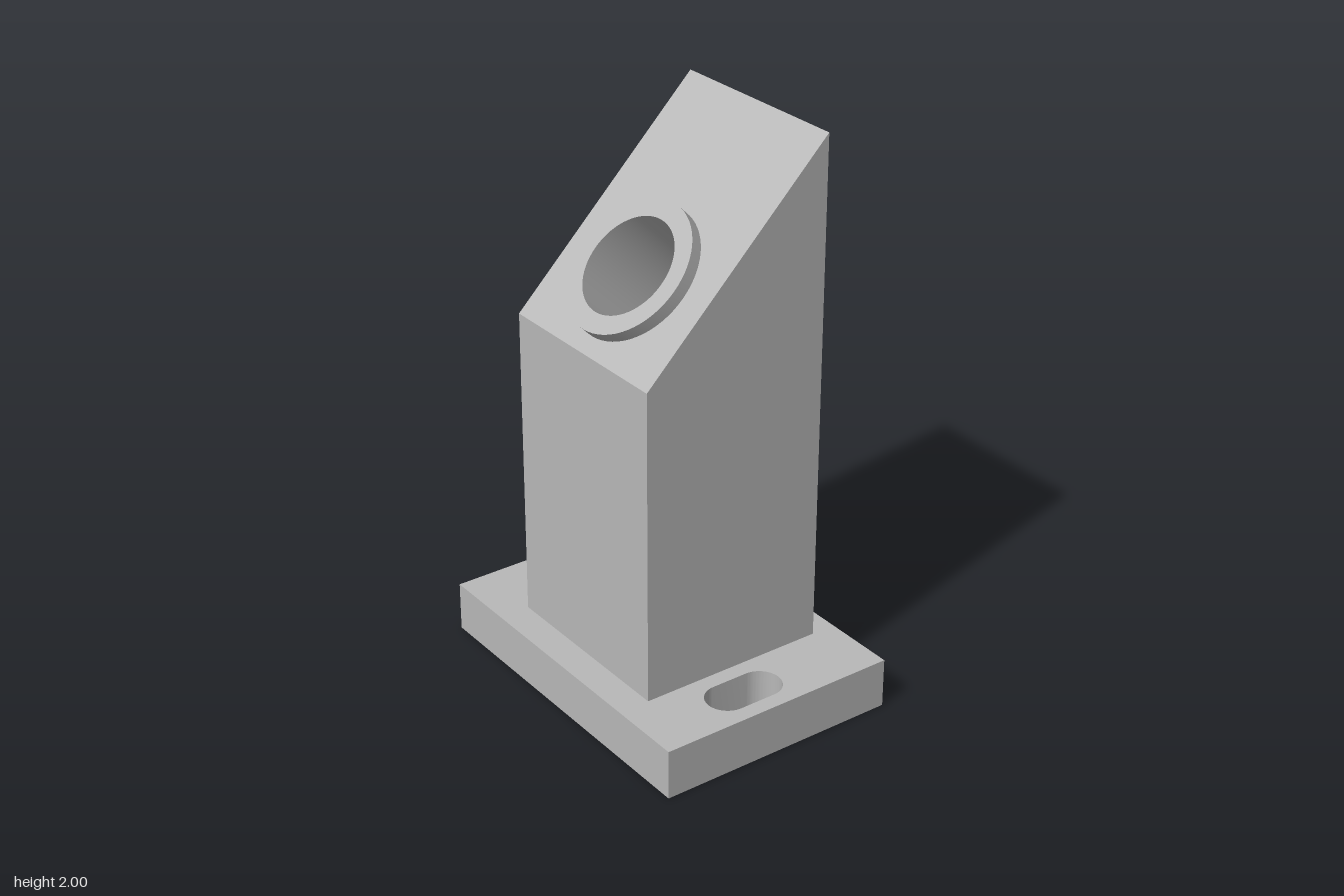
import * as THREE from 'three';
import { toCreasedNormals } from 'three/addons/utils/BufferGeometryUtils.js';

const BASE = { halfX: 0.448, halfZ: 0.627, height: 0.18 };
const COLUMN = { left: -0.335, right: 0.358, halfZ: 0.358, low: 1.307, high: 2 };
const COLLAR = { x: -0.117, outer: 0.246, inner: 0.179, height: 0.047, depth: 0.45 };

function rectangle(x0, y0, x1, y1) {
  return new THREE.Shape().moveTo(x0, y0).lineTo(x1, y0).lineTo(x1, y1).lineTo(x0, y1).closePath();
}

// Mounting plate with two rounded slots
function basePlate() {
  const shape = rectangle(-BASE.halfX, -BASE.halfZ, BASE.halfX, BASE.halfZ);
  const r = 0.076, mid = -0.045, half = 0.068;
  for (const side of [-1, 1]) {
    const slot = new THREE.Path();
    slot.absarc(mid + half, side * 0.493, r, -Math.PI / 2, Math.PI / 2);
    slot.absarc(mid - half, side * 0.493, r, Math.PI / 2, Math.PI * 1.5);
    slot.closePath();
    shape.holes.push(slot);
  }
  const geometry = new THREE.ExtrudeGeometry(shape, { depth: BASE.height, bevelEnabled: false, curveSegments: 24 });
  geometry.rotateX(-Math.PI / 2);
  return toCreasedNormals(geometry, 0.5);
}

// Four upright walls; the sloping top is a separate face with the bore cut out
function columnWalls() {
  const { left, right, halfZ, low, high } = COLUMN;
  const outline = [[left, BASE.height], [right, BASE.height], [right, high], [left, low]];
  const corners = [halfZ, -halfZ].flatMap((z) => outline.map(([x, y]) => [x, y, z]));
  const quads = [[0, 1, 2, 3], [5, 4, 7, 6], [1, 5, 6, 2], [4, 0, 3, 7]];
  const points = quads.flatMap(([a, b, c, d]) => [a, b, c, a, c, d].flatMap((i) => corners[i]));
  const geometry = new THREE.BufferGeometry();
  geometry.setAttribute('position', new THREE.Float32BufferAttribute(points, 3));
  geometry.computeVertexNormals();
  return geometry;
}

function slopeFace() {
  const down = (COLUMN.left - COLLAR.x) * Math.SQRT2;
  const up = (COLUMN.right - COLLAR.x) * Math.SQRT2;
  const shape = rectangle(-COLUMN.halfZ, down, COLUMN.halfZ, up);
  shape.holes.push(new THREE.Path().absarc(0, 0, COLLAR.inner, 0, Math.PI * 2, true));
  return new THREE.ShapeGeometry(shape, 32);
}

// Raised ring continuing into a blind bore
function collarAndBore() {
  const { outer, inner, height, depth } = COLLAR;
  const profile = [[outer, 0], [outer, height], [inner, height], [inner, -depth], [0, -depth]];
  const geometry = new THREE.LatheGeometry(profile.map(([x, y]) => new THREE.Vector2(x, y)), 64);
  geometry.rotateX(Math.PI / 2);
  return toCreasedNormals(geometry, 0.5);
}

export function createModel() {
  const grey = new THREE.MeshStandardMaterial({ color: 0xb8b8b8 });
  grey.name = 'grey';
  const model = new THREE.Group();
  model.name = 'angledPost';

  const add = (parent, name, geometry) => {
    const mesh = new THREE.Mesh(geometry, grey);
    mesh.name = name;
    parent.add(mesh);
  };

  add(model, 'basePlate', basePlate());
  add(model, 'columnWalls', columnWalls());

  // Sloping top: local x runs along z, local y up the slope, local z out of it
  const top = new THREE.Group();
  top.name = 'slopingTop';
  const s = Math.SQRT1_2;
  top.quaternion.setFromRotationMatrix(new THREE.Matrix4().makeBasis(
    new THREE.Vector3(0, 0, 1), new THREE.Vector3(s, s, 0), new THREE.Vector3(-s, s, 0)));
  top.position.set(COLLAR.x, COLUMN.low + COLLAR.x - COLUMN.left, 0);
  add(top, 'slopeFace', slopeFace());
  add(top, 'collarAndBore', collarAndBore());
  model.add(top);

  return model;
}
